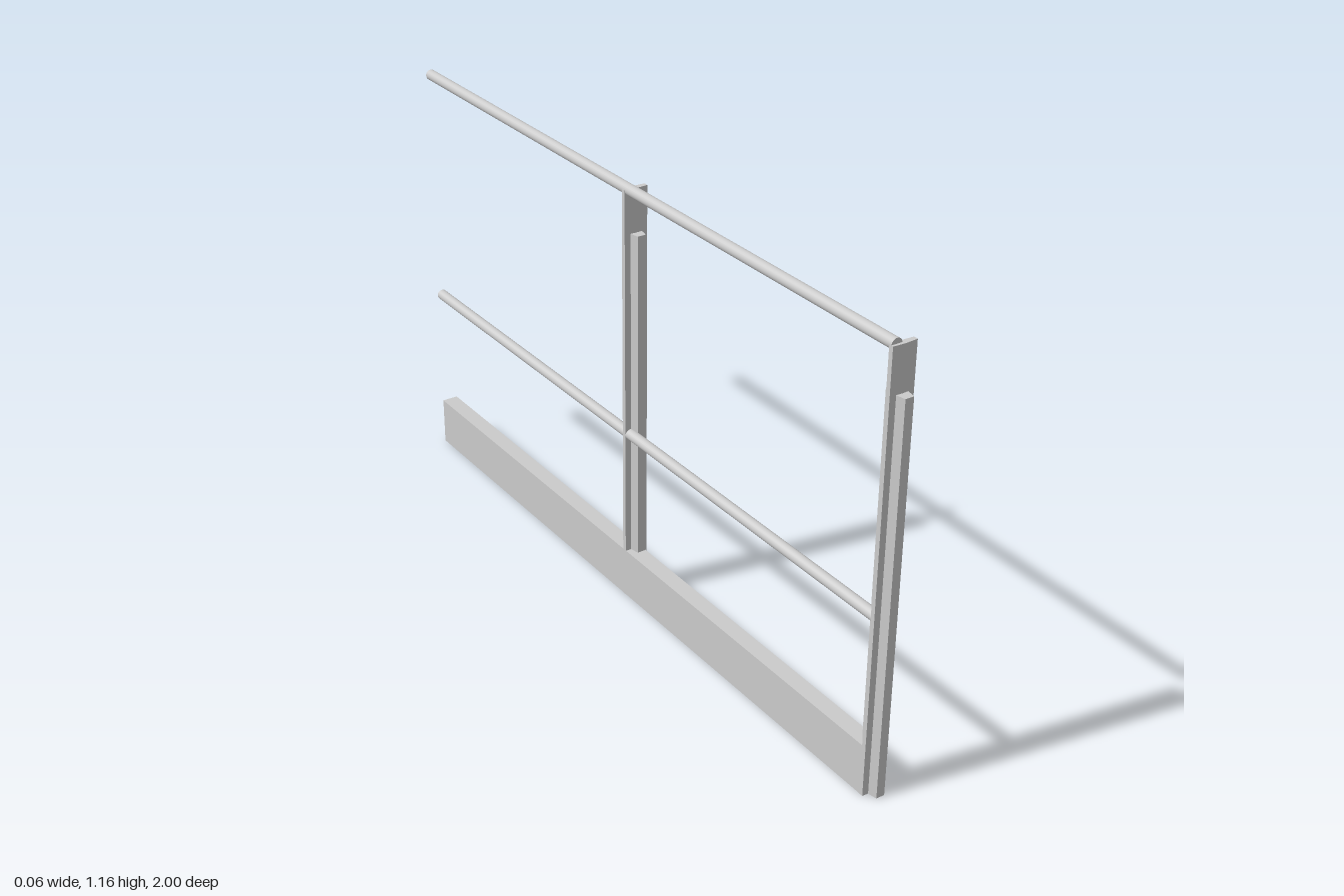
import * as THREE from 'three';

const material = new THREE.MeshStandardMaterial({ color: 0xcccccc, flatShading: true });
const smooth = new THREE.MeshStandardMaterial({ color: 0xcccccc });

const BACK = -1, END = 0.969;   // run of the rails along z
const RAIL_X = -0.0175, RAIL_R = 0.0145;

function add(parent, name, geometry, mat, x, y, z) {
  const mesh = new THREE.Mesh(geometry, mat);
  mesh.name = name;
  mesh.position.set(x, y, z);
  parent.add(mesh);
  return mesh;
}

// upright blade, widest at its middle and tapering to both edges (long axis along x)
function blade(halfLength, midHalf, tipHalf, height) {
  const shape = new THREE.Shape([
    [-halfLength, -tipHalf], [0, -midHalf], [halfLength, -tipHalf],
    [halfLength, tipHalf], [0, midHalf], [-halfLength, tipHalf],
  ].map(([x, y]) => new THREE.Vector2(x, y)));
  const geometry = new THREE.ExtrudeGeometry(shape, { depth: height, bevelEnabled: false });
  return geometry.rotateX(-Math.PI / 2);
}

// cross-section post: tall plate across x, shorter stiffener along z
function post(name, z) {
  const group = new THREE.Group();
  group.name = name;
  group.position.z = z;
  add(group, 'postPlate', blade(0.0325, 0.008, 0.006, 1.15), material, 0, 0, 0);
  add(group, 'postStiffener', blade(0.031, 0.0175, 0.0115, 1.035).rotateY(Math.PI / 2), material, 0, 0, 0);
  return group;
}

export function createModel() {
  const model = new THREE.Group();
  model.name = 'guardRail';
  const length = END - BACK, middle = (END + BACK) / 2;

  // posts
  model.add(post('endPost', END), post('middlePost', -0.014));

  // round rails
  for (const [name, y] of [['topRail', 1.149], ['middleRail', 0.483]]) {
    const tube = new THREE.CylinderGeometry(RAIL_R, RAIL_R, length, 24).rotateX(Math.PI / 2);
    add(model, name, tube, smooth, RAIL_X, y, middle);
  }

  // toe board along the floor
  add(model, 'toeBoard', new THREE.BoxGeometry(0.045, 0.137, length), material, -0.0095, 0.0685, middle);

  return model;
}
